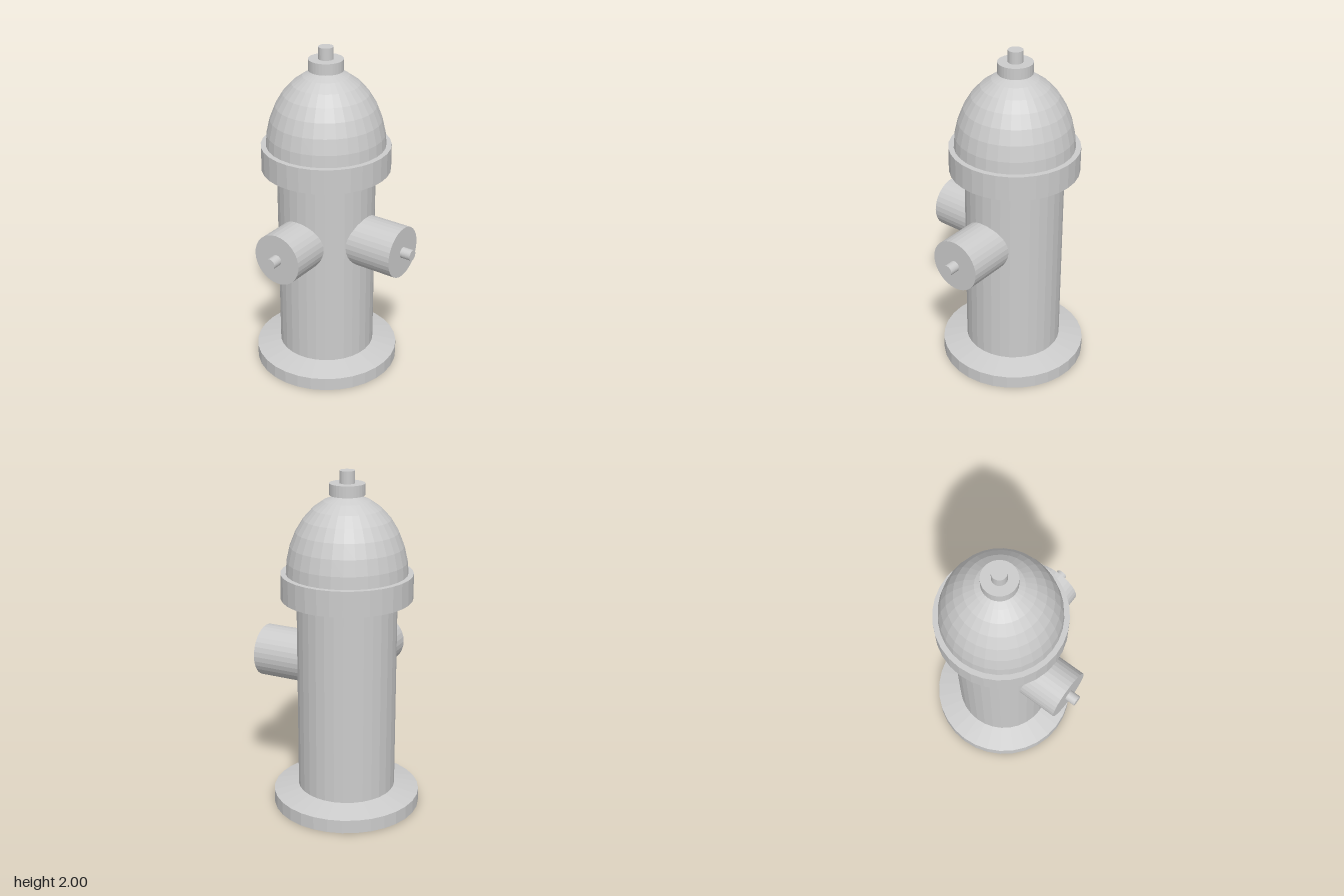
import * as THREE from 'three';

const SEGMENTS = 32;

export function createModel() {
  const hydrant = new THREE.Group();
  hydrant.name = 'hydrant';
  const material = new THREE.MeshStandardMaterial({ color: 0xcccccc, flatShading: true });

  const add = (parent, name, geometry) => {
    const mesh = new THREE.Mesh(geometry, material);
    mesh.name = name;
    parent.add(mesh);
    return mesh;
  };

  // Cylinder or cone spanning y0 to y1
  const drum = (parent, name, y0, y1, bottom, top = bottom) => {
    const geometry = new THREE.CylinderGeometry(top, bottom, y1 - y0, SEGMENTS);
    return add(parent, name, geometry.translate(0, (y0 + y1) / 2, 0));
  };

  // Base flange and barrel
  drum(hydrant, 'baseFlange', 0, 0.08, 0.434);
  drum(hydrant, 'baseSlope', 0.08, 0.115, 0.434, 0.288);
  drum(hydrant, 'barrel', 0.1, 1.3, 0.288);
  drum(hydrant, 'collar', 1.275, 1.422, 0.377);

  // Stretched half-sphere bonnet
  const dome = new THREE.SphereGeometry(0.348, SEGMENTS, 8, 0, Math.PI * 2, 0, Math.PI / 2);
  dome.scale(1, 0.468 / 0.348, 1).translate(0, 1.4, 0);
  add(hydrant, 'bonnet', dome);

  // Top cap and operating stem
  drum(hydrant, 'topCap', 1.865, 1.93, 0.1);
  drum(hydrant, 'topStem', 1.93, 2, 0.043);

  // Outlets: built upright, then laid down toward the front or the left side
  const outlet = (name, capEnd, boltEnd) => {
    const group = new THREE.Group();
    group.name = name;
    group.position.y = 0.875;
    drum(group, 'nozzle', 0.1, capEnd, 0.153);
    drum(group, 'nozzleBolt', capEnd, boltEnd, 0.032);
    hydrant.add(group);
    return group;
  };
  outlet('frontOutlet', 0.486, 0.548).rotation.x = Math.PI / 2;
  outlet('leftOutlet', 0.535, 0.6).rotation.z = -Math.PI / 2;

  // Offset the axis so the whole, outlets included, is centred
  hydrant.position.set(-0.083, 0, -0.057);
  const model = new THREE.Group();
  model.name = 'fireHydrant';
  model.add(hydrant);
  return model;
}
